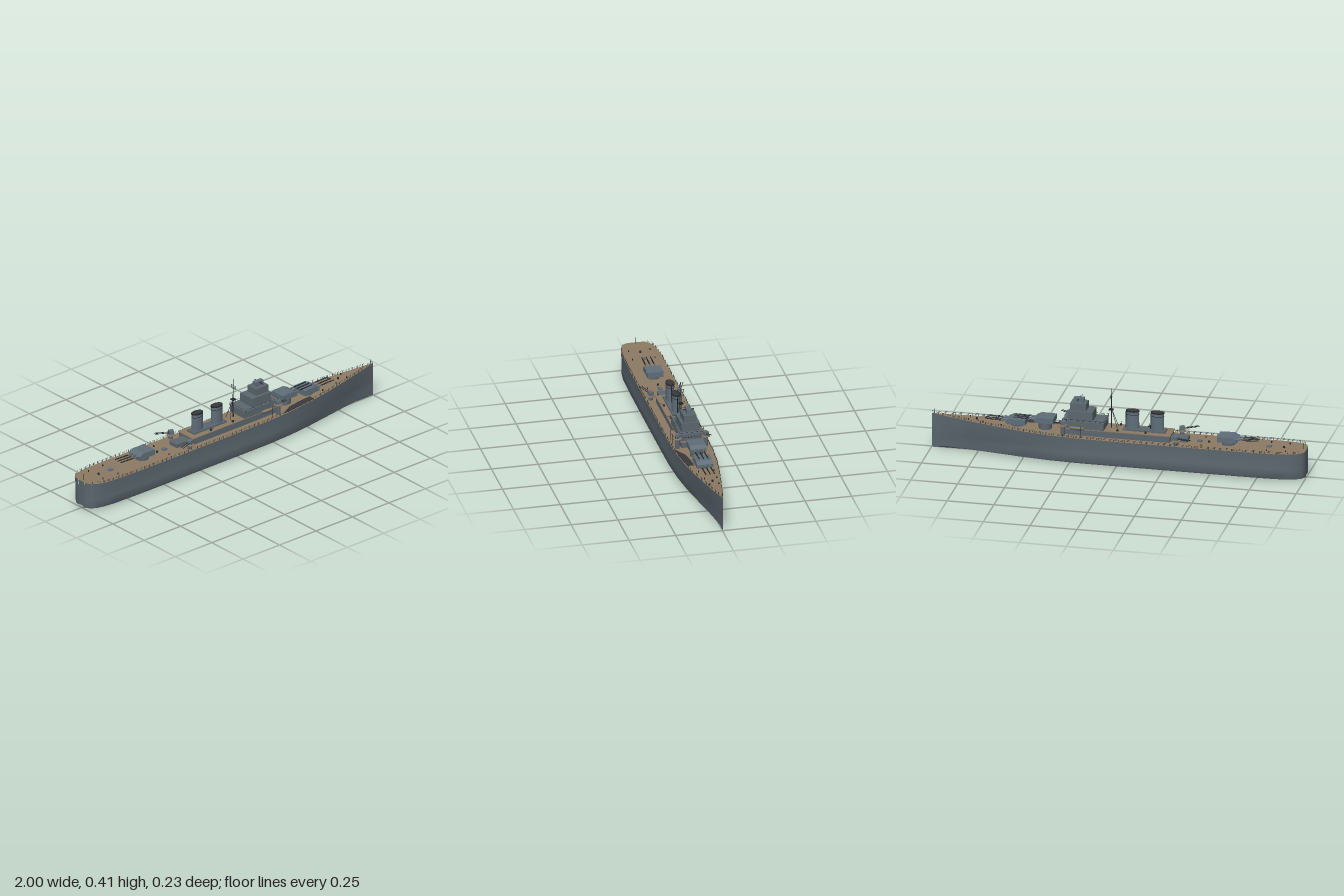
import * as THREE from 'three';
import { mergeGeometries, toCreasedNormals } from 'three/addons/utils/BufferGeometryUtils.js';

const mat = (name, color, side = THREE.FrontSide) => {
  const m = new THREE.MeshStandardMaterial({ color, side });
  m.name = name;
  return m;
};

// Hull stations: x, half width at the bottom, half width at the deck, deck height
const STATIONS = [
  [-1, 0.02, 0.025, 0.155], [-0.997, 0.045, 0.05, 0.155], [-0.985, 0.062, 0.067, 0.155],
  [-0.96, 0.078, 0.083, 0.154], [-0.92, 0.09, 0.094, 0.153], [-0.85, 0.099, 0.101, 0.152],
  [-0.7, 0.102, 0.103, 0.15], [-0.4, 0.103, 0.103, 0.149], [0, 0.103, 0.103, 0.149],
  [0.2, 0.102, 0.103, 0.15], [0.35, 0.094, 0.099, 0.153], [0.5, 0.077, 0.087, 0.159],
  [0.65, 0.052, 0.066, 0.166], [0.8, 0.026, 0.04, 0.174], [0.92, 0.009, 0.017, 0.181], [1, 0, 0, 0.186],
];

// Deck half width and height at any x
function deckAt(x) {
  let i = 0;
  while (i < STATIONS.length - 2 && STATIONS[i + 1][0] < x) i++;
  const a = STATIONS[i], b = STATIONS[i + 1], t = (x - a[0]) / (b[0] - a[0]);
  return { w: a[2] + (b[2] - a[2]) * t, y: a[3] + (b[3] - a[3]) * t };
}

// Skin through rows of points
function loft(rows) {
  const n = rows[0].length, index = [];
  for (let i = 0; i < rows.length - 1; i++) for (let j = 0; j < n - 1; j++) {
    const a = i * n + j, b = a + 1, c = a + n, d = c + 1;
    index.push(a, b, c, b, d, c);
  }
  const g = new THREE.BufferGeometry();
  g.setAttribute('position', new THREE.Float32BufferAttribute(rows.flat(2), 3));
  g.setIndex(index);
  g.computeVertexNormals();
  return toCreasedNormals(g, 0.6);
}

// Thin rod between two points
function rod(a, b, r, sides = 6, r2 = r) {
  const p = new THREE.Vector3(...a), d = new THREE.Vector3(...b).sub(p), len = d.length();
  const g = new THREE.CylinderGeometry(r2, r, len, sides);
  g.translate(0, len / 2, 0);
  g.applyQuaternion(new THREE.Quaternion().setFromUnitVectors(new THREE.Vector3(0, 1, 0), d.normalize()));
  return g.translate(p.x, p.y, p.z);
}

export function createModel() {
  const ship = new THREE.Group();
  ship.name = 'warship';
  const grey = mat('hullGrey', 0x5b676e);
  const blue = mat('turretGrey', 0x606e79);
  const tan = mat('deckTan', 0x8c7a63);
  const dark = mat('darkMetal', 0x24292d);
  const patch = mat('darkDeck', 0x3a3a3c, THREE.DoubleSide);

  const add = (name, geo, m, parent = ship, x = 0, y = 0, z = 0) => {
    const mesh = new THREE.Mesh(geo, m);
    mesh.name = name;
    mesh.position.set(x, y, z);
    parent.add(mesh);
    return mesh;
  };
  const box = (name, x0, x1, y0, y1, halfZ, m, parent = ship, z = 0) =>
    add(name, new THREE.BoxGeometry(x1 - x0, y1 - y0, halfZ * 2), m, parent, (x0 + x1) / 2, (y0 + y1) / 2, z);
  const cyl = (name, r0, r1, h, m, parent, x, y, z, sides = 20) =>
    add(name, new THREE.CylinderGeometry(r1, r0, h, sides), m, parent, x, y + h / 2, z);

  // Hull with a shallow V bottom and a slight side bulge, and its planked deck
  add('hull', loft(STATIONS.map(([x, b, d, h]) => {
    const half = [[d, h], [(b + d) / 2 * 0.975, 0.085], [b, 0.066], [b, 0.02], [b * 0.95, 0.011]];
    return [...half.map(([z, y]) => [x, y, z]), [x, 0, 0], ...half.reverse().map(([z, y]) => [x, y, -z])];
  })), grey);
  add('sternPlate', new THREE.BoxGeometry(0.002, 0.14, 0.042), grey, ship, -0.999, 0.084, 0);
  add('deck', loft(STATIONS.map(([x, , d, h]) => [[x, h, -d], [x, h, d]])), tan);

  // Dark area on the left side of the foredeck
  const patchRows = [[0.31, 0.09], [0.38, 0.055], [0.46, 0.045], [0.53, 0.042]].map(([x, z]) => {
    const d = deckAt(x);
    return [[x, d.y + 0.002, z], [x, d.y + 0.002, d.w - 0.003]];
  });
  add('foredeckPatch', loft(patchRows), patch);

  // Deck-edge railings on both sides
  const rails = [];
  for (const s of [-1, 1]) {
    for (let x = -0.98; x < 0.97; x += 0.03) {
      const { w, y } = deckAt(x);
      rails.push(new THREE.BoxGeometry(0.0015, 0.013, 0.0015).translate(x, y + 0.006, s * (w - 0.002)));
    }
    STATIONS.slice(2, -1).forEach((a, i) => {
      const b = STATIONS[i + 3];
      for (const h of [0.006, 0.012])
        rails.push(rod([a[0], a[3] + h, s * (a[2] - 0.002)], [b[0], b[3] + h, s * Math.max(b[2] - 0.002, 0)], 0.0004, 4));
    });
  }
  add('railings', mergeGeometries(rails), dark);
  add('jackstaff', rod([0.985, 0.184, 0], [0.985, 0.21, 0], 0.001), dark);
  add('ensignStaff', rod([-0.985, 0.155, 0], [-0.985, 0.19, 0], 0.001), dark);

  // Long deckhouse with a planked roof
  box('deckhouse', -0.28, 0.29, 0.148, 0.183, 0.056, grey);
  box('deckhouseRoof', -0.285, 0.295, 0.183, 0.187, 0.06, tan);
  box('aftDeckhouse', -0.37, -0.28, 0.148, 0.17, 0.03, grey);
  box('engineCasing', -0.25, -0.025, 0.187, 0.196, 0.028, grey);

  // Stepped bridge tower
  box('bridgeBase', 0.07, 0.285, 0.187, 0.225, 0.058, grey);
  box('bridgeDeck', 0.068, 0.292, 0.225, 0.229, 0.064, grey);
  box('bridgeMiddle', 0.132, 0.262, 0.229, 0.278, 0.049, grey);
  box('bridgeUpper', 0.17, 0.255, 0.278, 0.317, 0.034, grey);
  box('directorBase', 0.19, 0.235, 0.317, 0.328, 0.013, blue);
  box('director', 0.185, 0.24, 0.326, 0.342, 0.013, blue);
  add('rangefinder', rod([0.215, 0.335, -0.03], [0.215, 0.335, 0.03], 0.003, 8), dark);
  add('directorAerial', rod([0.205, 0.341, 0.012], [0.205, 0.341, 0.053], 0.001), dark);
  const bridgeRails = [];
  for (const s of [-1, 1]) {
    bridgeRails.push(rod([0.07, 0.237, s * 0.063], [0.29, 0.237, s * 0.063], 0.0007, 4));
    for (let x = 0.07; x < 0.3; x += 0.022) bridgeRails.push(rod([x, 0.229, s * 0.063], [x, 0.237, s * 0.063], 0.0007, 4));
  }
  for (const x of [0.07, 0.29]) bridgeRails.push(rod([x, 0.237, -0.063], [x, 0.237, 0.063], 0.0007, 4));
  add('bridgeRails', mergeGeometries(bridgeRails), dark);
  for (let k = -3; k <= 3; k++)
    add('porthole', new THREE.CylinderGeometry(0.003, 0.003, 0.002, 8).rotateZ(Math.PI / 2), dark, ship, 0.286, 0.208, k * 0.015);

  // Two oval funnels with dark caps and open tops
  for (const x of [-0.205, -0.072]) {
    const funnel = new THREE.Group();
    funnel.name = 'funnel';
    funnel.position.set(x, 0, 0);
    funnel.scale.z = 0.62;
    ship.add(funnel);
    cyl('funnelBody', 0.035, 0.034, 0.104, blue, funnel, 0, 0.184, 0, 28);
    cyl('funnelCap', 0.0365, 0.0365, 0.006, dark, funnel, 0, 0.288, 0, 28);
    cyl('funnelBand', 0.0355, 0.0355, 0.002, dark, funnel, 0, 0.272, 0, 28);
    cyl('funnelOpening', 0.03, 0.03, 0.001, patch, funnel, 0, 0.294, 0, 28);
    add('steamPipe', rod([0.037, 0.187, 0], [0.036, 0.285, 0], 0.003), dark, funnel);
  }

  // Tripod mast with lookout platform, yards and aerial
  add('mast', rod([0.042, 0.187, 0], [0.042, 0.375, 0], 0.003, 8, 0.002), dark);
  add('mastAerial', rod([0.042, 0.375, 0], [0.042, 0.405, 0], 0.0008), dark);
  for (const s of [-1, 1]) add('mastLeg', rod([0.005, 0.187, s * 0.018], [0.04, 0.29, 0], 0.0012), dark);
  box('mastPlatform', 0.03, 0.054, 0.286, 0.29, 0.012, dark);
  for (const y of [0.352, 0.361, 0.369]) add('yard', rod([0.042, y, -0.018], [0.042, y, 0.018], 0.0009), dark);
  for (const s of [-1, 1]) add('yardEnd', rod([0.042, 0.352, s * 0.016], [0.042, 0.37, s * 0.016], 0.0007), dark);

  // Triple main turrets with sloped fronts
  const side = new THREE.Shape([[-0.052, 0], [-0.052, 0.029], [0.025, 0.031], [0.052, 0.018], [0.05, 0]].map(p => new THREE.Vector2(...p)));
  const turret = (name, x, base, y, turn) => {
    const g = new THREE.Group();
    g.name = name;
    g.position.set(x, y, 0);
    g.rotation.y = turn;
    ship.add(g);
    cyl('barbette', 0.034, 0.034, y - base, grey, g, 0, base - y, 0, 24);
    const body = new THREE.ExtrudeGeometry(side, { depth: 0.086, bevelEnabled: false }).translate(0, 0, -0.043);
    add('turretHouse', body, blue, g);
    add('turretRangefinder', rod([-0.035, 0.024, -0.047], [-0.035, 0.024, 0.047], 0.004, 8), blue, g);
    for (const z of [-0.023, 0, 0.023]) {
      add('barrelSleeve', rod([0.045, 0.013, z], [0.08, 0.014, z], 0.0055, 10, 0.004), blue, g);
      add('barrel', rod([0.08, 0.014, z], [0.165, 0.017, z], 0.0036, 10, 0.0027), dark, g);
    }
  };
  turret('foreTurret', 0.545, 0.155, 0.174, 0);
  turret('upperForeTurret', 0.395, 0.148, 0.194, 0);
  turret('aftTurret', -0.583, 0.145, 0.17, Math.PI);

  // Secondary twin guns on round platforms, mirrored
  for (const s of [-1, 1]) {
    for (const [x, y, turn, len] of [[-0.32, 0.17, 2.75, 0.075], [0.285, 0.205, 0.35, 0.03]]) {
      const g = new THREE.Group();
      g.name = 'secondaryGun';
      g.position.set(x, y, s * 0.076);
      g.rotation.y = -s * turn;
      ship.add(g);
      cyl('gunPlatform', 0.022, 0.022, 0.004, tan, g, 0, 0, 0);
      cyl('gunPedestal', 0.012, 0.012, y - 0.148, grey, g, 0, 0.148 - y, 0, 12);
      box('gunShield', -0.014, 0.012, 0.006, 0.027, 0.012, blue, g);
      for (const z of [-0.006, 0.006]) add('gunBarrel', rod([0.01, 0.016, z], [0.014 + len, 0.021, z], 0.0018), dark, g);
    }
    // Ship's boats beside the bridge
    const boat = new THREE.SphereGeometry(1, 16, 6, 0, Math.PI * 2, Math.PI / 2, Math.PI / 2).scale(0.042, 0.012, 0.011);
    add('boatHull', boat, blue, ship, 0.21, 0.199, s * 0.078);
    add('boatCover', new THREE.CylinderGeometry(1, 1, 1, 16).scale(0.042, 0.002, 0.011), tan, ship, 0.21, 0.2, s * 0.078);
    for (const x of [0.185, 0.235]) add('davit', rod([x, 0.15, s * 0.088], [x, 0.212, s * 0.088], 0.001), dark);
    // Small light guns beside the funnels
    for (const x of [-0.15, 0.0]) {
      cyl('lightGunBase', 0.006, 0.005, 0.009, dark, ship, x, 0.187, s * 0.045, 8);
      add('lightGunBarrel', rod([x, 0.196, s * 0.045], [x, 0.204, s * 0.066], 0.001), dark);
    }
  }

  // Deck fittings: bollards, hatches and capstans
  for (const s of [-1, 1]) for (const x of [-0.9, -0.8, -0.45, 0.62, 0.72, 0.8]) {
    const d = deckAt(x);
    cyl('bollard', 0.003, 0.003, 0.008, dark, ship, x, d.y, s * d.w * 0.6, 8);
  }
  for (const x of [-0.88, -0.48, 0.76]) cyl('capstan', 0.006, 0.005, 0.009, dark, ship, x, deckAt(x).y, 0, 10);
  for (const x of [-0.8, -0.43]) box('hatch', x - 0.012, x + 0.012, 0.148, 0.158, 0.01, blue);

  ship.position.z = -0.003;
  const model = new THREE.Group();
  model.name = 'model';
  model.add(ship);
  return model;
}
